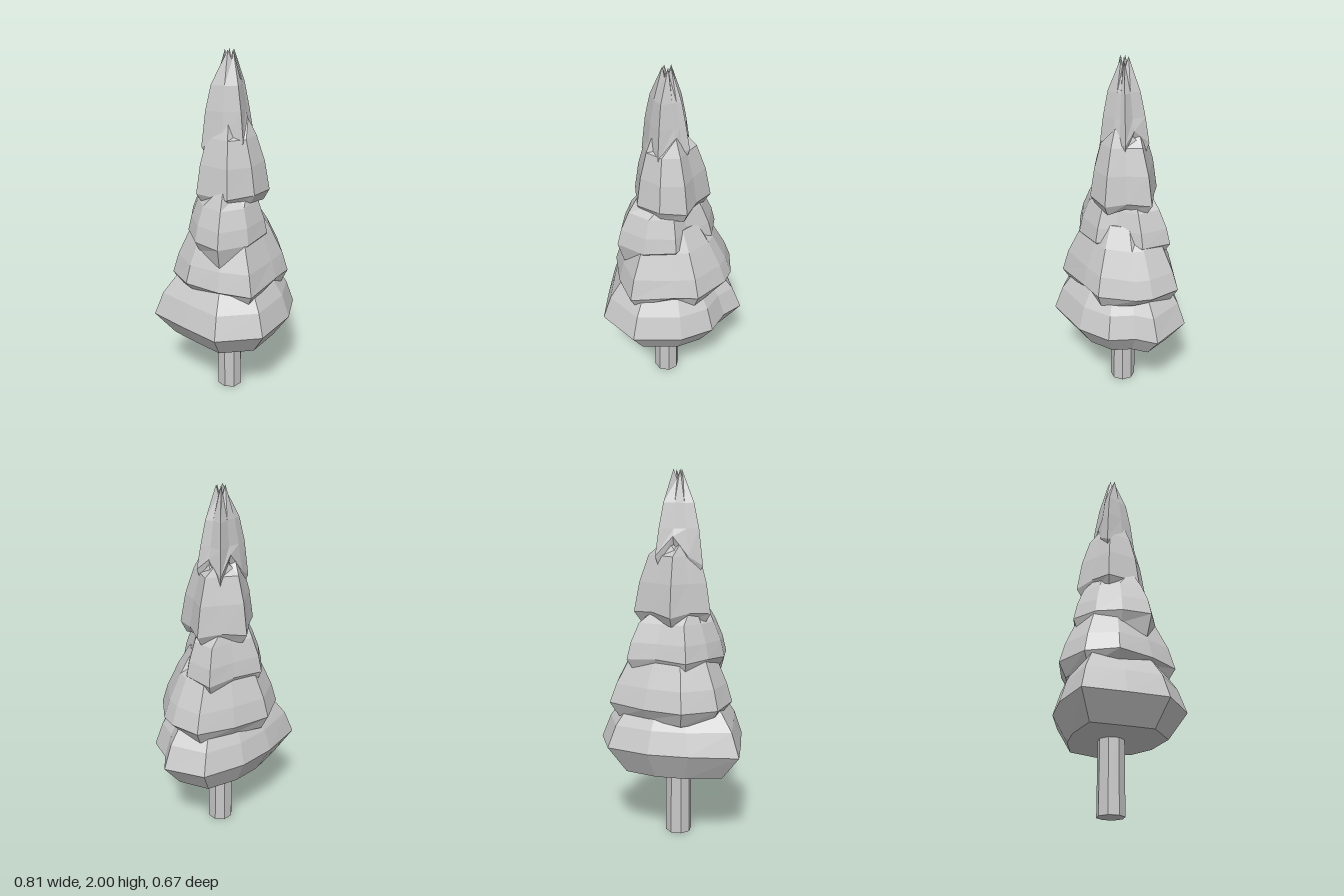
import * as THREE from 'three';

const AXIS = [-0.03, -0.04]; // trunk axis, slightly off centre

// One foliage tier. rim: [x, z, rimY, hemY] running right, back, left, front.
// rings: [scale, y, ripple] above the rim, drawn in towards the axis.
function tier(name, material, rim, hemScale, rings, capDrop) {
  const scaled = (p, s, y) => [AXIS[0] + (p[0] - AXIS[0]) * s, y, AXIS[1] + (p[1] - AXIS[1]) * s];
  const topY = rings[rings.length - 1][1];
  const hemTop = Math.max(...rim.map(p => p[3]));
  const loops = [
    rim.map(p => scaled(p, hemScale, p[3])),
    rim.map(p => [p[0], p[2], p[1]]),
    ...rings.map(([s, y, ripple = 0]) =>
      rim.map((p, i) => scaled(p, s, y - (i % 2) * ripple))),
  ];
  const pos = [];
  const tri = (a, b, c) => pos.push(...a, ...b, ...c);
  const n = rim.length;
  const under = [AXIS[0], hemTop, AXIS[1]];
  const cap = [AXIS[0], topY - capDrop, AXIS[1]];
  for (let i = 0; i < n; i++) {
    const j = (i + 1) % n;
    for (let k = 0; k + 1 < loops.length; k++) {
      const lo = loops[k], hi = loops[k + 1];
      tri(lo[i], lo[j], hi[j]);
      tri(lo[i], hi[j], hi[i]);
    }
    tri(loops[0][j], loops[0][i], under);
    const top = loops[loops.length - 1];
    tri(top[i], top[j], cap);
  }
  const geo = new THREE.BufferGeometry();
  geo.setAttribute('position', new THREE.Float32BufferAttribute(pos, 3));
  geo.computeVertexNormals();
  const mesh = new THREE.Mesh(geo, material);
  mesh.name = name;
  return mesh;
}

export function createModel() {
  const grey = new THREE.MeshStandardMaterial({ color: 0xc8c8c8, flatShading: true });
  grey.name = 'plain grey';
  const tree = new THREE.Group();
  tree.name = 'pineTree';

  // Octagonal trunk
  const trunk = new THREE.Mesh(new THREE.CylinderGeometry(0.07, 0.073, 0.5, 8), grey);
  trunk.name = 'trunk';
  trunk.position.set(-0.035, 0.25, -0.045);
  trunk.rotation.y = Math.PI / 8;
  tree.add(trunk);

  // Widest tier, flat underneath
  tree.add(tier('bottomTier', grey, [
    [0.32, 0.03, 0.53, 0.39], [0.402, -0.065, 0.53, 0.39], [0.305, -0.278, 0.54, 0.39],
    [0.07, -0.338, 0.54, 0.39], [-0.145, -0.333, 0.54, 0.39], [-0.405, -0.267, 0.53, 0.39],
    [-0.385, -0.04, 0.53, 0.39], [-0.357, 0.183, 0.53, 0.39], [-0.145, 0.335, 0.53, 0.39],
    [0.117, 0.282, 0.53, 0.39], [0.273, 0.17, 0.53, 0.39],
  ], 0.74, [[0.88, 0.66], [0.72, 0.75], [0.45, 0.86]], 0));

  // Second tier with a wavy hem
  tree.add(tier('lowerTier', grey, [
    [0.315, 0.03, 0.78, 0.72], [0.335, -0.06, 0.78, 0.73], [0.305, -0.225, 0.78, 0.70],
    [0.1, -0.295, 0.77, 0.71], [-0.11, -0.338, 0.77, 0.69], [-0.285, -0.235, 0.77, 0.70],
    [-0.335, -0.065, 0.78, 0.73], [-0.27, 0.12, 0.77, 0.74], [-0.17, 0.27, 0.76, 0.69],
    [0.06, 0.23, 0.78, 0.74], [0.19, 0.195, 0.77, 0.68],
  ], 0.87, [[0.9, 0.88], [0.7, 1.02], [0.5, 1.13, 0.05]], 0));

  // Middle tier, drooping at the front left and recessed at the front right
  tree.add(tier('middleTier', grey, [
    [0.22, -0.05, 1.03, 0.98], [0.21, -0.215, 1.02, 0.96], [0.05, -0.235, 1.03, 0.98],
    [-0.12, -0.27, 1.02, 0.95], [-0.22, -0.17, 1.03, 0.97], [-0.285, -0.04, 1.02, 0.96],
    [-0.27, 0.12, 1.02, 0.90], [-0.11, 0.185, 1.02, 0.99], [0.06, 0.155, 1.03, 1.0],
    [0.11, 0.06, 1.04, 1.0],
  ], 0.88, [[0.92, 1.11], [0.76, 1.21], [0.5, 1.33, 0.06]], 0));

  // Fourth tier
  tree.add(tier('upperTier', grey, [
    [0.14, 0.01, 1.27, 1.23], [0.196, -0.11, 1.26, 1.21], [0.08, -0.175, 1.27, 1.22],
    [-0.03, -0.242, 1.25, 1.2], [-0.12, -0.17, 1.27, 1.23], [-0.218, -0.1, 1.26, 1.21],
    [-0.165, 0.08, 1.26, 1.22], [-0.03, 0.147, 1.27, 1.22], [0.11, 0.12, 1.26, 1.2],
  ], 0.85, [[0.87, 1.42], [0.66, 1.56], [0.45, 1.65, 0.06]], 0));

  // Pointed top tier with ragged hem and split crown
  tree.add(tier('topTier', grey, [
    [0.098, 0, 1.58, 1.52], [0.07, -0.06, 1.64, 1.6], [0.07, -0.145, 1.56, 1.5],
    [-0.02, -0.125, 1.66, 1.62], [-0.1, -0.125, 1.56, 1.52], [-0.175, -0.1, 1.51, 1.47],
    [-0.12, 0, 1.56, 1.52], [-0.05, 0.082, 1.54, 1.48],
    [0.03, 0.035, 1.62, 1.58], [0.06, 0.015, 1.57, 1.5],
  ], 0.85, [[0.84, 1.7], [0.64, 1.83], [0.2, 2.0, 0.05]], 0.07));

  return tree;
}
